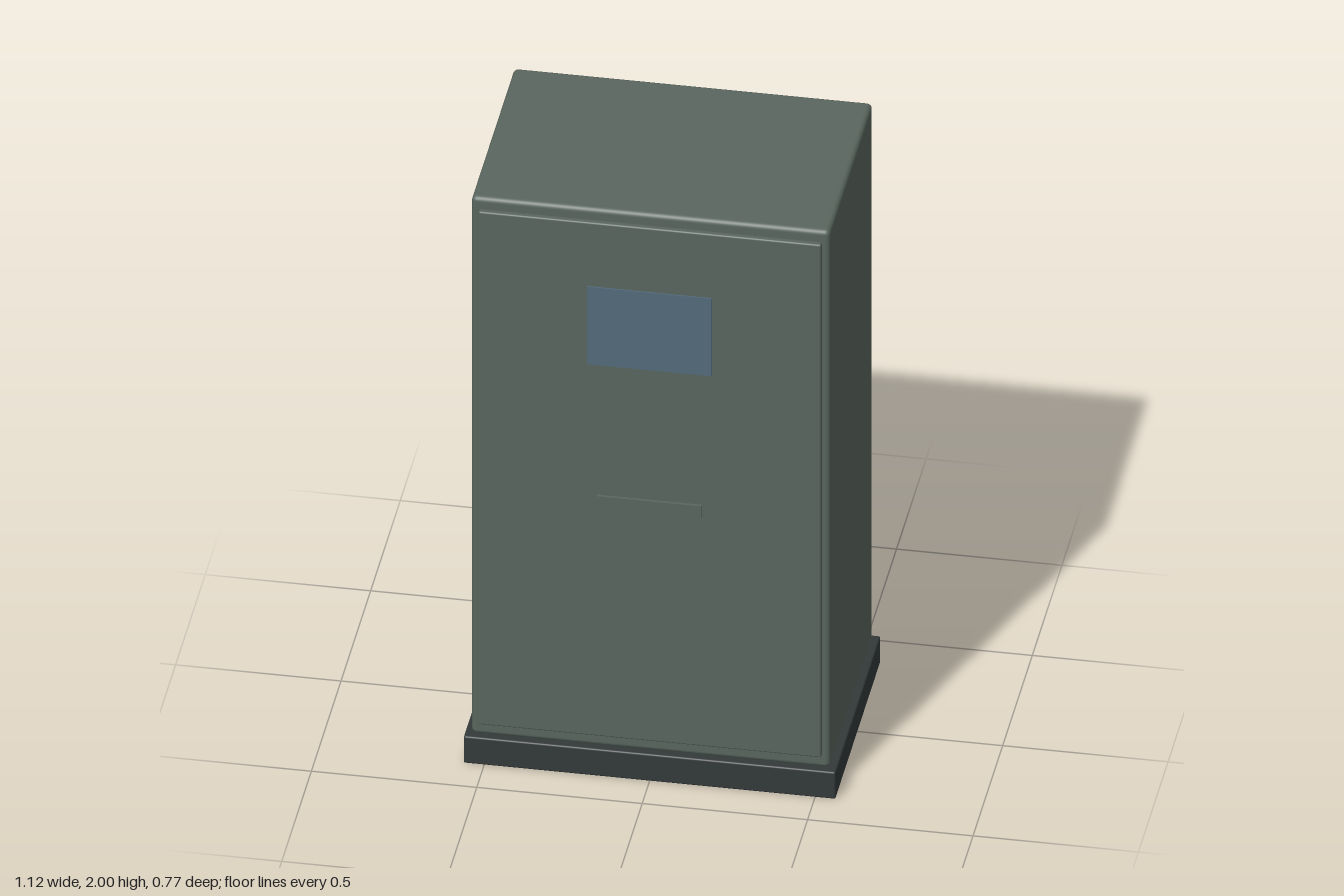
import * as THREE from 'three';
import { RoundedBoxGeometry } from 'three/addons/geometries/RoundedBoxGeometry.js';

export function createModel() {
  const model = new THREE.Group();
  model.name = 'cabinet';

  const material = (name, color) => {
    const m = new THREE.MeshStandardMaterial({ color });
    m.name = name;
    return m;
  };
  const green = material('greyGreenPaint', 0x59665e);
  const dark = material('darkPlinth', 0x33393a);
  const blue = material('blueGlass', 0x526a7a);

  // Box between two corners, with rounded edges when a radius is given
  function block(name, mat, [x0, y0, z0], [x1, y1, z1], radius = 0) {
    const size = [x1 - x0, y1 - y0, z1 - z0];
    const geometry = radius
      ? new RoundedBoxGeometry(...size, 3, radius)
      : new THREE.BoxGeometry(...size);
    const mesh = new THREE.Mesh(geometry, mat);
    mesh.name = name;
    mesh.position.set((x0 + x1) / 2, (y0 + y1) / 2, (z0 + z1) / 2);
    model.add(mesh);
  }

  // Plinth and cabinet body
  block('plinth', dark, [-0.562, 0, -0.383], [0.562, 0.095, 0.377], 0.006);
  block('body', green, [-0.542, 0.095, -0.363], [0.542, 2, 0.358], 0.016);

  // Raised front door with its window and pull handle
  block('door', green, [-0.518, 0.14, 0.34], [0.518, 1.96, 0.374], 0.006);
  block('window', blue, [-0.188, 1.46, 0.37], [0.188, 1.735, 0.379]);
  block('handle', green, [-0.158, 0.952, 0.37], [0.158, 0.998, 0.383]);

  return model;
}
